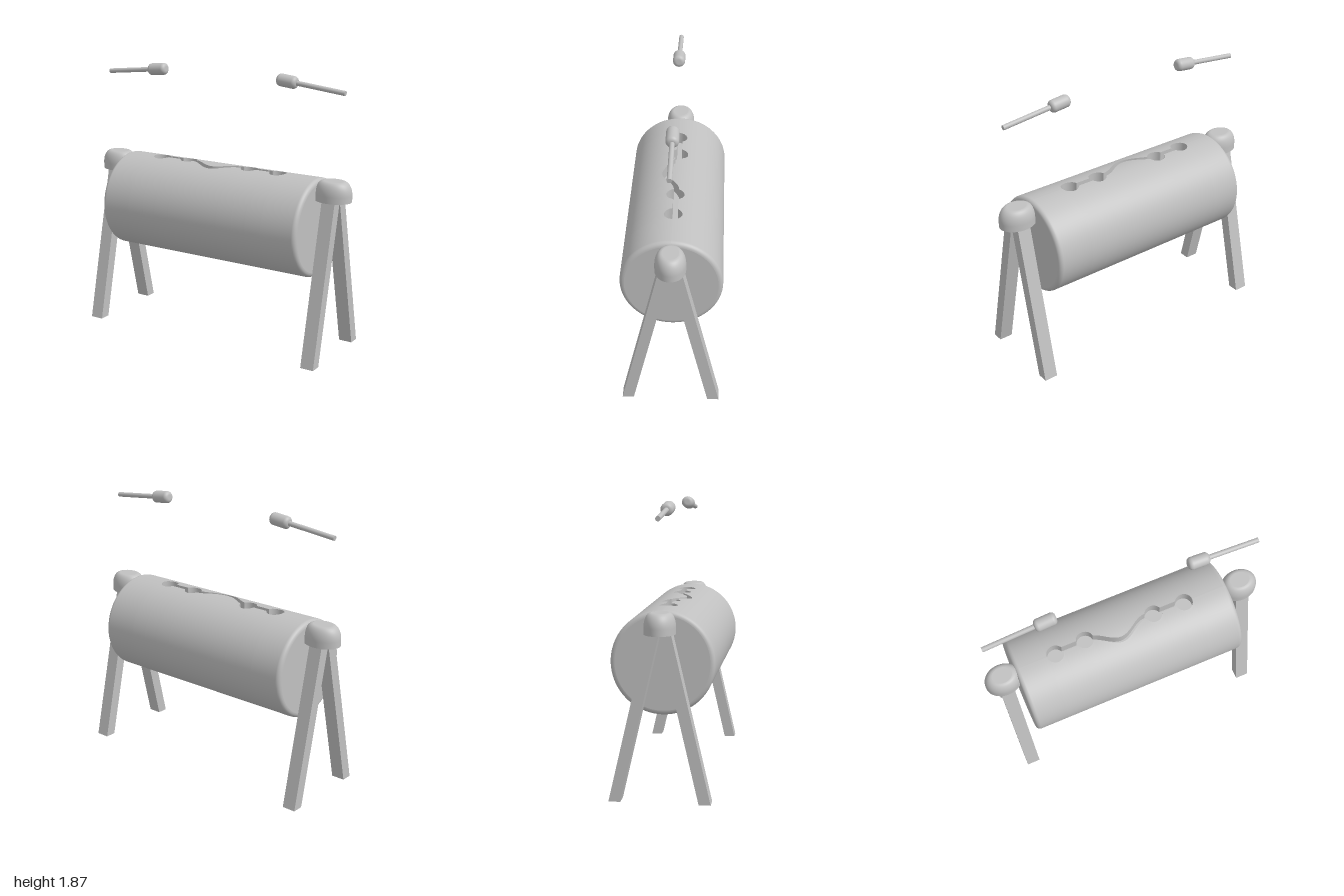
import * as THREE from 'three';

const R = 0.335, CY = 0.87, X0 = -0.78, X1 = 0.775, EDGE = 0.03; // drum body
const FLOOR = 1.12, HOLE = 0.06, SLOT = 0.018;                   // carved pocket
const holes = [[-0.49, 0], [-0.27, -0.014], [0.23, -0.005], [0.455, 0]];

const grey = new THREE.MeshStandardMaterial({ color: 0xc0c0c0 });
grey.name = 'grey';

function add(parent, name, geometry) {
  const mesh = new THREE.Mesh(geometry, grey);
  mesh.name = name;
  parent.add(mesh);
  return mesh;
}

// Skin over rows of points of equal length
function skin(rows) {
  const n = rows[0].length, index = [];
  for (let i = 0; i < rows.length - 1; i++) {
    for (let j = 0; j < n - 1; j++) {
      const a = i * n + j, b = a + n;
      index.push(a, a + 1, b, a + 1, b + 1, b);
    }
  }
  const g = new THREE.BufferGeometry();
  g.setAttribute('position', new THREE.Float32BufferAttribute(rows.flat(2), 3));
  g.setIndex(index);
  g.computeVertexNormals();
  return g;
}

// Centre line of the groove, with a bulge to the front in the middle
function pathZ(x) {
  const t = Math.min(1, Math.abs(x + 0.035) / 0.21);
  return -0.01 + 0.088 * (1 + Math.cos(Math.PI * t)) / 2;
}

// Back and front limit of the carved pocket at x
function pocket(x) {
  let lo = Infinity, hi = -Infinity;
  if (x >= holes[0][0] && x <= holes[3][0]) {
    lo = pathZ(x) - SLOT;
    hi = pathZ(x) + SLOT;
  }
  for (const [cx, cz] of holes) {
    const d = Math.abs(x - cx);
    if (d > HOLE + 1e-6) continue;
    const h = Math.sqrt(Math.max(0, HOLE * HOLE - d * d));
    lo = Math.min(lo, cz - h);
    hi = Math.max(hi, cz + h);
  }
  return lo > hi ? [0, 0] : [lo, hi];
}

function makeDrum() {
  const drum = new THREE.Group();
  drum.name = 'drum';

  // Stations along the pocket, dense around each round hole
  const xs = [];
  holes.forEach(([cx], k) => {
    for (let i = 0; i <= 20; i++) xs.push(cx - HOLE * Math.cos(Math.PI * i / 20));
    if (k === 3) return;
    const a = cx + HOLE, b = holes[k + 1][0] - HOLE, n = k === 1 ? 32 : 6;
    for (let i = 1; i < n; i++) xs.push(a + (b - a) * i / n);
  });

  // Full list of stations with the rounded rims
  const stations = [];
  for (let i = 0; i <= 6; i++) {
    const t = Math.PI / 2 * i / 6;
    stations.push([X0 + EDGE * (1 - Math.cos(t)), R - EDGE * (1 - Math.sin(t))]);
  }
  const rightRim = stations.map(([x, r]) => [X1 - (x - X0), r]).reverse();
  stations.push(...xs.map((x) => [x, R]), ...rightRim);

  // Each ring runs round the drum from the front lip to the back lip
  const M = 96;
  add(drum, 'drumShell', skin(stations.map(([x, r]) => {
    const [lo, hi] = pocket(x);
    const a0 = Math.asin(hi / R), a1 = 2 * Math.PI + Math.asin(lo / R);
    return Array.from({ length: M + 1 }, (_, j) => {
      const a = a0 + (a1 - a0) * j / M;
      return [x, CY + r * Math.cos(a), r * Math.sin(a)];
    });
  })));

  // Pocket floor and walls
  const top = (x, z) => [x, CY + Math.sqrt(R * R - z * z), z];
  const bottom = (x, z) => [x, FLOOR, z];
  const rows = (f) => skin(xs.map((x) => f(x, ...pocket(x))));
  add(drum, 'grooveFloor', rows((x, lo, hi) => [bottom(x, lo), bottom(x, hi)]));
  add(drum, 'grooveFrontWall', rows((x, lo, hi) => [bottom(x, hi), top(x, hi)]));
  add(drum, 'grooveBackWall', rows((x, lo) => [top(x, lo), bottom(x, lo)]));

  // Flat ends
  for (const [x, s] of [[X0, -1], [X1, 1]]) {
    const end = add(drum, 'drumEnd', new THREE.CircleGeometry(R - EDGE, 96));
    end.position.set(x, CY, 0);
    end.rotation.y = s * Math.PI / 2;
  }
  return drum;
}

// Leaning leg, cut level at the ground
function legGeometry(side) {
  const g = new THREE.BoxGeometry(0.094, 1.1, 0.076).translate(0, 0.55, 0);
  const p = g.attributes.position;
  for (let i = 0; i < p.count; i++) {
    p.setZ(i, p.getZ(i) + side * (0.287 - 0.232 * p.getY(i)));
  }
  g.computeVertexNormals();
  return g;
}

function makeStand(side) {
  const stand = new THREE.Group();
  stand.name = side > 0 ? 'leftStand' : 'rightStand';
  add(stand, 'frontLeg', legGeometry(1));
  add(stand, 'backLeg', legGeometry(-1));

  // Oval domed cap: flat underside, rounded shoulder, flat top
  const dome = [];
  for (let i = 0; i <= 10; i++) {
    const t = Math.PI / 2 * i / 10;
    dome.push(new THREE.Vector2(0.055 + 0.045 * Math.cos(t), 1.115 + 0.09 * Math.sin(t)));
  }
  const sideProfile = [new THREE.Vector2(0.1, 1.072), ...dome];
  add(stand, 'cap', new THREE.LatheGeometry(sideProfile, 48)).scale.x = 1.27;
  for (const [y, r, turn] of [[1.205, 0.055, -1], [1.072, 0.1, 1]]) {
    const g = new THREE.CircleGeometry(r, 48).rotateX(turn * Math.PI / 2);
    const disc = add(stand, turn < 0 ? 'capTop' : 'capUnderside', g);
    disc.position.y = y;
    disc.scale.x = 1.27;
  }
  stand.position.x = side * 0.873;
  return stand;
}

// Mallet lying along its own axis, head towards the middle
function makeMallet(side) {
  const mallet = new THREE.Group();
  mallet.name = side > 0 ? 'leftMallet' : 'rightMallet';
  const handle = new THREE.CylinderGeometry(0.0165, 0.0165, 0.37, 24);
  add(mallet, 'malletHandle', handle.translate(0, 0.185, 0));

  const profile = [new THREE.Vector2(0, 0.35)];
  const round = 0.026, r = 0.042, length = 0.146;
  for (const end of [0, 1]) {
    for (let i = 0; i <= 6; i++) {
      const t = Math.PI / 2 * (end ? i : i - 6) / 6;
      const y = end ? length - round : round;
      profile.push(new THREE.Vector2(r - round + round * Math.cos(t), 0.35 + y + round * Math.sin(t)));
    }
  }
  profile.push(new THREE.Vector2(0, 0.35 + length));
  add(mallet, 'malletHead', new THREE.LatheGeometry(profile, 32));

  mallet.position.set(side * 0.938, 1.782, 0);
  mallet.rotation.z = side * (Math.PI / 2 - 0.105);
  return mallet;
}

export function createModel() {
  const model = new THREE.Group();
  model.name = 'slitDrum';
  model.add(makeDrum());
  for (const side of [-1, 1]) model.add(makeStand(side), makeMallet(side));
  return model;
}
